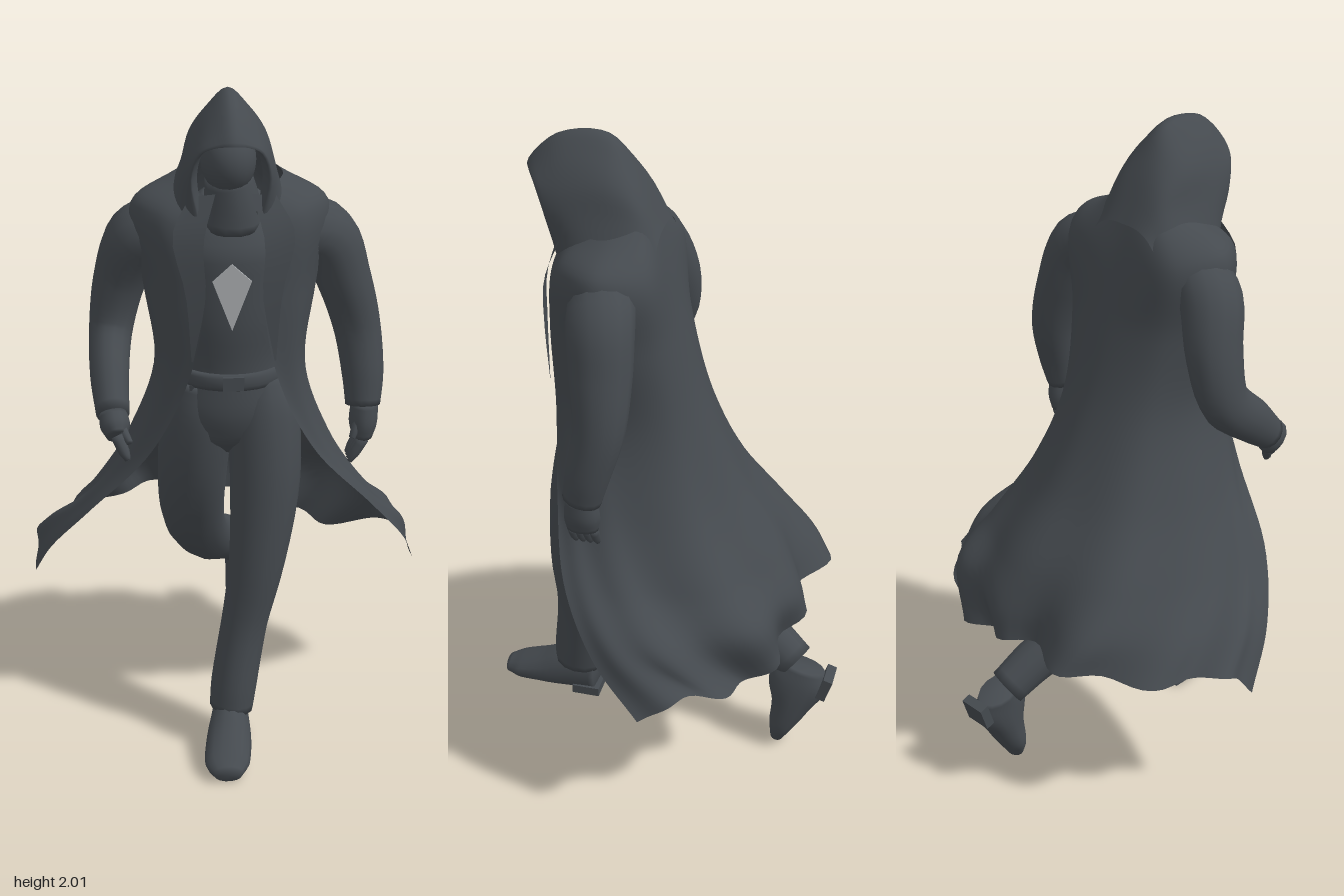
import * as THREE from 'three';

const V = (p) => new THREE.Vector3(p[0], p[1], p[2]);
const spline = (pts) => new THREE.CatmullRomCurve3(pts);
const mirrorX = ([x, y, z]) => [-x, y, z];

function buildGeometry(pos, idx) {
  const g = new THREE.BufferGeometry();
  g.setAttribute('position', new THREE.Float32BufferAttribute(pos, 3));
  g.setIndex(idx);
  g.computeVertexNormals();
  return g;
}

// Closed limb: sections are [x, y, z, half width, half depth] along a path
function limb(sections, steps = 18, sides = 14) {
  const path = spline(sections.map(V));
  const radii = spline(sections.map((s) => new THREE.Vector3(s[3], s[4], 0)));
  const pos = [], idx = [];
  const ring = (t, k) => {
    const c = path.getPoint(t), r = radii.getPoint(t), tan = path.getTangent(t);
    const n = new THREE.Vector3(1, 0, 0).addScaledVector(tan, -tan.x).normalize();
    const b = new THREE.Vector3().crossVectors(tan, n);
    for (let j = 0; j < sides; j++) {
      const a = (j / sides) * Math.PI * 2;
      const p = c.clone().addScaledVector(n, Math.cos(a) * r.x * k).addScaledVector(b, Math.sin(a) * r.y * k);
      pos.push(p.x, Math.max(0, p.y), p.z);
    }
  };
  ring(0, 0.001);
  for (let i = 0; i <= steps; i++) ring(i / steps, 1);
  ring(1, 0.001);
  for (let i = 0; i < steps + 2; i++) {
    for (let j = 0; j < sides; j++) {
      const a = i * sides + j, b = i * sides + ((j + 1) % sides);
      idx.push(a, b, a + sides, b, b + sides, a + sides);
    }
  }
  return buildGeometry(pos, idx);
}

// Open sheet: rows of control points, smoothed both ways, with optional folds
function sheet(rows, cols, steps, fold = () => 0) {
  const curves = rows.map((r) => spline(r.map(V)));
  const pos = [], idx = [], w = cols + 1;
  const columns = Array.from({ length: w }, (_, j) => spline(curves.map((c) => c.getPoint(j / cols))));
  for (let i = 0; i <= steps; i++) {
    for (let j = 0; j < w; j++) {
      const p = columns[j].getPoint(i / steps);
      const out = new THREE.Vector3(p.x, 0, p.z - 0.15).normalize();
      p.addScaledVector(out, fold(j / cols, i / steps));
      pos.push(p.x, p.y, p.z);
    }
  }
  for (let i = 0; i < steps; i++) {
    for (let j = 0; j < cols; j++) {
      const a = i * w + j;
      idx.push(a, a + 1, a + w, a + 1, a + w + 1, a + w);
    }
  }
  return buildGeometry(pos, idx);
}

// Symmetric row: half runs from the right-hand edge to the middle
const mirrored = (half) => [...half, ...half.slice(0, -1).reverse().map(mirrorX)];

export function createModel() {
  const root = new THREE.Group();
  root.name = 'hoodedWalker';
  const cloth = new THREE.MeshStandardMaterial({ color: 0x454a4f, side: THREE.DoubleSide });
  cloth.name = 'dark slate cloth';
  const pale = new THREE.MeshStandardMaterial({ color: 0xa9acaf });
  pale.name = 'pale grey print';
  const add = (name, geometry, material = cloth) => {
    const m = new THREE.Mesh(geometry, material);
    m.name = name;
    root.add(m);
    return m;
  };

  // Long coat, open in front and blown out towards the hem
  const coatTop = [
    [[-0.06, 1.71, 0.28], [-0.12, 1.735, 0.21], [-0.15, 1.75, 0.13], [-0.1, 1.77, 0.05], [0, 1.78, 0.03]],
    [[-0.1, 1.61, 0.31], [-0.2, 1.66, 0.26], [-0.28, 1.67, 0.13], [-0.2, 1.65, 0], [0, 1.65, -0.01]],
    [[-0.085, 1.42, 0.325], [-0.19, 1.43, 0.27], [-0.25, 1.43, 0.13], [-0.18, 1.43, -0.02], [0, 1.43, -0.065]],
    [[-0.13, 1.18, 0.3], [-0.195, 1.18, 0.25], [-0.22, 1.18, 0.12], [-0.17, 1.18, -0.07], [0, 1.18, -0.14]],
  ];
  const coatSkirt = [
    [[-0.24, 0.95, 0.27], [-0.28, 0.95, 0.2], [-0.3, 0.93, 0.06], [-0.22, 0.93, -0.16], [0, 0.93, -0.25]],
    [[-0.42, 0.74, 0.2], [-0.43, 0.74, 0.1], [-0.4, 0.73, -0.05], [-0.28, 0.73, -0.29], [0, 0.73, -0.375]],
    [[-0.54, 0.57, 0.08], [-0.54, 0.61, -0.03], [-0.46, 0.6, -0.2], [-0.28, 0.61, -0.4], [0, 0.6, -0.425]],
  ];
  const hem = [[-0.6, 0.42, -0.05], [-0.585, 0.52, -0.14], [-0.47, 0.51, -0.3], [-0.25, 0.52, -0.46], [0, 0.51, -0.44],
    [0.2, 0.45, -0.42], [0.38, 0.42, -0.33], [0.55, 0.49, -0.2], [0.6, 0.42, -0.07]];
  const folds = (u, v) => {
    const low = Math.max(0, (v - 0.35) / 0.65);
    return 0.032 * low ** 1.6 * Math.sin(Math.PI * u) * Math.cos(u * Math.PI * 15);
  };
  add('coat', sheet([...coatTop.map(mirrored), ...coatSkirt.map(mirrored), hem], 72, 48, folds));

  // Lapels folded back along the coat opening
  for (const s of [-1, 1]) {
    const edge = [[0.05, 1.73, 0.29], [0.085, 1.6, 0.326], [0.08, 1.45, 0.333], [0.115, 1.25, 0.32]];
    const outer = [[0.12, 1.72, 0.275], [0.17, 1.62, 0.308], [0.135, 1.45, 0.325], [0.12, 1.25, 0.318]];
    const side = (pts) => pts.map(([x, y, z]) => [s * x, y, z]);
    add(s > 0 ? 'leftLapel' : 'rightLapel', sheet(s > 0 ? [side(edge), side(outer)] : [side(outer), side(edge)], 10, 2));
  }

  // Pointed hood, arches running from the inner brim to the nape
  const hoodRows = [
    [[-0.075, 1.67, 0.27], [-0.09, 1.78, 0.285], [-0.075, 1.85, 0.31], [-0.035, 1.895, 0.34], [0, 1.9, 0.36]],
    [[-0.09, 1.66, 0.3], [-0.11, 1.78, 0.325], [-0.085, 1.86, 0.36], [-0.04, 1.885, 0.39], [0, 1.89, 0.405]],
    [[-0.145, 1.68, 0.25], [-0.13, 1.79, 0.26], [-0.105, 1.87, 0.28], [-0.055, 1.945, 0.3], [0, 1.985, 0.315]],
    [[-0.165, 1.69, 0.15], [-0.13, 1.79, 0.15], [-0.105, 1.88, 0.15], [-0.055, 1.95, 0.155], [0, 2, 0.165]],
    [[-0.15, 1.7, 0.05], [-0.115, 1.78, 0.06], [-0.09, 1.84, 0.07], [-0.05, 1.885, 0.08], [0, 1.905, 0.085]],
    [[-0.12, 1.69, 0], [-0.09, 1.72, 0], [-0.06, 1.735, 0], [-0.03, 1.74, 0], [0, 1.74, 0]],
  ];
  add('hood', sheet(hoodRows.map(mirrored), 32, 25)).position.x = -0.01;

  // Covered head, scarf and neck
  const head = add('head', new THREE.SphereGeometry(1, 20, 14));
  head.scale.set(0.078, 0.095, 0.095);
  head.position.set(-0.01, 1.81, 0.22);
  add('scarf', limb([[0, 1.62, 0.19, 0.1, 0.1], [0, 1.69, 0.2, 0.08, 0.09], [-0.01, 1.77, 0.21, 0.065, 0.075]], 6));

  // Shirt, belt and hips
  add('shirt', limb([[0, 1.12, 0.15, 0.165, 0.14], [0, 1.22, 0.15, 0.155, 0.145], [0, 1.36, 0.15, 0.18, 0.16],
    [0, 1.54, 0.15, 0.19, 0.16], [0, 1.64, 0.16, 0.14, 0.12], [0, 1.7, 0.18, 0.075, 0.08]], 20, 28));
  add('belt', limb([[0, 1.15, 0.15, 0.165, 0.15], [0, 1.175, 0.15, 0.17, 0.155], [0, 1.2, 0.15, 0.165, 0.15]], 4, 28));
  add('hips', limb([[0, 1.17, 0.15, 0.165, 0.145], [0, 1.07, 0.155, 0.185, 0.145], [0, 0.98, 0.155, 0.15, 0.12],
    [0, 0.92, 0.155, 0.04, 0.05]], 12, 24));
  add('buckle', new THREE.BoxGeometry(0.06, 0.04, 0.012)).position.set(0, 1.175, 0.304);

  // Plain kite-shaped chest patch
  const patch = new THREE.Shape([[0, 0.095], [0.055, 0.045], [0, -0.1], [-0.055, 0.045]].map((p) => new THREE.Vector2(...p)));
  add('chestPatch', new THREE.ExtrudeGeometry(patch, { depth: 0.008, bevelEnabled: false }), pale).position.set(-0.005, 1.44, 0.309);

  // Trouser legs: left one planted in front, right one pushing off behind
  add('frontLeg', limb([[0.085, 1.15, 0.15, 0.075, 0.12], [0.095, 1.03, 0.18, 0.108, 0.128], [0.1, 0.85, 0.22, 0.105, 0.115],
    [0.075, 0.6, 0.26, 0.085, 0.09], [0.035, 0.38, 0.265, 0.07, 0.082], [0.005, 0.2, 0.285, 0.07, 0.085],
    [-0.005, 0.115, 0.295, 0.066, 0.08]], 24));
  add('rearLeg', limb([[-0.085, 1.15, 0.15, 0.075, 0.12], [-0.095, 1.03, 0.15, 0.108, 0.128], [-0.11, 0.85, 0.12, 0.105, 0.115],
    [-0.105, 0.64, 0.02, 0.095, 0.09], [-0.05, 0.47, -0.17, 0.08, 0.08], [0.025, 0.38, -0.33, 0.07, 0.072],
    [0.06, 0.3, -0.44, 0.06, 0.066]], 28));

  // Boots with a raised heel block
  add('frontBoot', limb([[-0.005, 0.08, 0.235, 0.05, 0.075], [-0.01, 0.08, 0.31, 0.058, 0.08], [-0.02, 0.055, 0.41, 0.068, 0.058],
    [-0.03, 0.036, 0.5, 0.066, 0.037], [-0.03, 0.028, 0.55, 0.04, 0.022]]));
  add('frontHeel', new THREE.BoxGeometry(0.09, 0.03, 0.09)).position.set(-0.005, 0.015, 0.265);
  add('rearBoot', limb([[0.07, 0.3, -0.47, 0.05, 0.07], [0.08, 0.24, -0.455, 0.056, 0.095], [0.085, 0.15, -0.435, 0.06, 0.062],
    [0.085, 0.07, -0.41, 0.058, 0.042], [0.085, 0.012, -0.395, 0.032, 0.022]]));
  const rearHeel = add('rearHeel', new THREE.BoxGeometry(0.085, 0.08, 0.03));
  rearHeel.position.set(0.08, 0.25, -0.545);
  rearHeel.rotation.x = -0.3;

  // Sleeves
  add('leftSleeve', limb([[0.19, 1.6, 0.13, 0.08, 0.1], [0.275, 1.56, 0.115, 0.09, 0.1], [0.335, 1.42, 0.1, 0.08, 0.092],
    [0.378, 1.27, 0.095, 0.07, 0.076], [0.395, 1.13, 0.125, 0.062, 0.066], [0.395, 1.04, 0.145, 0.052, 0.058]], 24));
  add('rightSleeve', limb([[-0.19, 1.6, 0.12, 0.08, 0.1], [-0.26, 1.56, 0.1, 0.09, 0.1], [-0.315, 1.42, 0.06, 0.078, 0.09],
    [-0.345, 1.27, 0.075, 0.064, 0.078], [-0.352, 1.16, 0.19, 0.056, 0.068], [-0.345, 1.08, 0.28, 0.048, 0.052]], 24));

  // Hands: a palm with four fingers and a thumb
  const hand = (name, wrist, knuckle, tip, thumbTip) => {
    const g = new THREE.Group();
    g.name = name;
    const part = (n, geo) => {
      const m = new THREE.Mesh(geo, cloth);
      m.name = n;
      g.add(m);
    };
    const middle = V(wrist).lerp(V(knuckle), 0.55).toArray();
    part('palm', limb([[...wrist, 0.04, 0.045], [...middle, 0.043, 0.055], [...knuckle, 0.03, 0.048]], 8, 12));
    const across = new THREE.Vector3().subVectors(V(tip), V(knuckle)).normalize().cross(new THREE.Vector3(1, 0, 0)).normalize();
    for (let k = 0; k < 4; k++) {
      const shift = across.clone().multiplyScalar((k - 1.5) * 0.022);
      const a = V(knuckle).add(shift), b = V(tip).add(shift);
      part('finger', limb([[...a.toArray(), 0.017, 0.014], [...a.lerp(b, 0.6).toArray(), 0.016, 0.013],
        [...b.toArray(), 0.008, 0.008]], 5, 8));
    }
    part('thumb', limb([[...wrist, 0.022, 0.022], [...thumbTip, 0.01, 0.01]], 5, 8));
    root.add(g);
  };
  hand('leftHand', [0.4, 1.05, 0.145], [0.395, 0.94, 0.145], [0.355, 0.87, 0.145], [0.36, 0.95, 0.19]);
  hand('rightHand', [-0.345, 1.085, 0.28], [-0.335, 1.03, 0.325], [-0.305, 0.97, 0.355], [-0.3, 1.03, 0.37]);

  return root;
}
